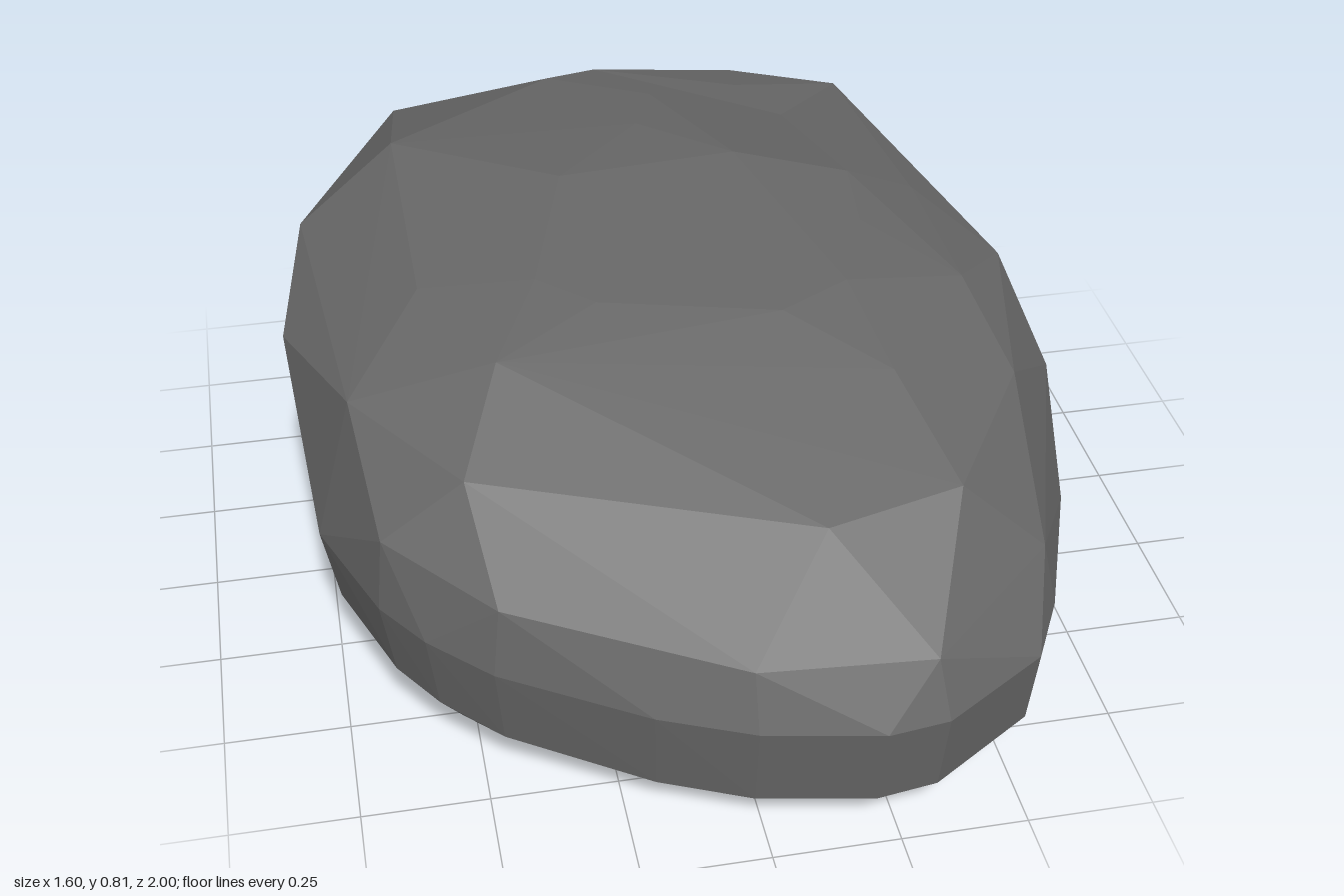
import * as THREE from 'three';
import { ConvexGeometry } from 'three/addons/geometries/ConvexGeometry.js';

// Plan outline of the boulder at its widest, as [x, z]
const OUTLINE = [
  [-0.03, -1], [0.1, -0.98], [0.35, -0.89], [0.45, -0.82], [0.53, -0.74], [0.67, -0.51],
  [0.75, -0.28], [0.8, -0.03], [0.78, 0.2], [0.72, 0.45], [0.61, 0.74], [0.54, 0.87],
  [0.33, 0.99], [0.21, 1], [-0.02, 0.95], [-0.2, 0.88], [-0.48, 0.74], [-0.6, 0.64],
  [-0.68, 0.54], [-0.78, 0.31], [-0.79, 0.1], [-0.8, -0.07], [-0.78, -0.3],
  [-0.67, -0.6], [-0.5, -0.82], [-0.33, -0.94],
];

// Rings from base to crown: [outline scale, height] toward each side
const RINGS = [
  { back: [0.70, 0.055], front: [0.76, 0.00], left: [0.74, 0.05], right: [0.74, 0.055] },
  { back: [0.88, 0.13], front: [0.89, 0.02], left: [0.88, 0.10], right: [0.88, 0.08] },
  { back: [0.99, 0.24], front: [0.975, 0.085], left: [0.99, 0.20], right: [0.945, 0.18], full: true },
  { back: [1.00, 0.42], front: [1.00, 0.27], left: [1.00, 0.34], right: [0.985, 0.35], full: true },
  { back: [0.975, 0.55], front: [0.95, 0.38], left: [0.975, 0.48], right: [0.975, 0.52] },
  { back: [0.94, 0.64], front: [0.72, 0.55], left: [0.89, 0.62], right: [0.90, 0.64] },
  { back: [0.84, 0.715], front: [0.40, 0.665], left: [0.75, 0.69], right: [0.67, 0.74] },
  { back: [0.60, 0.775], front: [0.20, 0.73], left: [0.50, 0.745], right: [0.40, 0.77] },
];

const CORNERS = [
  // crown
  [-0.2, 0.81, -0.2], [0.18, 0.80, -0.25], [-0.53, 0.785, -0.45], [0, 0.795, -0.42],
  [0.42, 0.755, -0.2], [-0.15, 0.755, -0.74],
  // sharp rim around the back
  [0.53, 0.675, -0.74], [0.31, 0.66, -0.88], [-0.18, 0.65, -0.925], [-0.5, 0.67, -0.81],
  [-0.74, 0.66, -0.36],
  // foot and widest side points
  [0.15, 0, 0.77], [-0.8, 0.57, -0.07], [0.8, 0.22, -0.03],
];

// Blend a ring's side values around the outline
function ringPoint(ring, [x, z]) {
  const wx = (x / 0.8) ** 2;
  const wz = z ** 2;
  const t = wx / (wx + wz);
  const side = x > 0 ? ring.left : ring.right;
  const end = z > 0 ? ring.front : ring.back;
  const scale = THREE.MathUtils.lerp(end[0], side[0], t);
  const y = THREE.MathUtils.lerp(end[1], side[1], t);
  return new THREE.Vector3(x * scale, y, z * scale);
}

// 1 in the middle of the underside, 0 at its rim
const underside = (x, z) => Math.max(0, 1 - (x / 0.56) ** 2 - (z / 0.75) ** 2);

// 1 in the middle of the dent behind the left shoulder, 0 at its edge
const dent = (x, z) => Math.max(0, 1 - Math.hypot(x - 0.36, z + 0.56) / 0.24);

export function createModel() {
  const group = new THREE.Group();
  group.name = 'rock';

  // Alternate the outline points from ring to ring for irregular facets
  const points = CORNERS.map((c) => new THREE.Vector3(...c));
  RINGS.forEach((ring, r) => {
    OUTLINE.forEach((p, i) => {
      if (ring.full || (i + r) % 2 === 0) points.push(ringPoint(ring, p));
    });
  });

  // Point in the dent, slightly proud so that the hull keeps it
  points.push(new THREE.Vector3(0.36, 0.755, -0.56));

  // Underside points, bulging down so that the hull keeps them
  for (const x of [-0.25, 0, 0.25]) {
    for (const z of [-0.4, 0, 0.4]) {
      points.push(new THREE.Vector3(x, 0.0275 - 0.0357 * z - 0.02 * underside(x, z), z));
    }
  }
  const geometry = new ConvexGeometry(points);

  // Lift the underside into a shallow hollow and press in the dent
  const pos = geometry.attributes.position;
  for (let i = 0; i < pos.count; i++) {
    const [x, y, z] = [pos.getX(i), pos.getY(i), pos.getZ(i)];
    if (y < 0.1) pos.setY(i, y + 0.05 * underside(x, z));
    else if (y > 0.6) pos.setY(i, y - 0.05 * dent(x, z));
  }
  geometry.computeVertexNormals();

  const boulder = new THREE.Mesh(
    geometry,
    new THREE.MeshStandardMaterial({ color: 0x666666, flatShading: true }),
  );
  boulder.name = 'boulder';
  group.add(boulder);
  return group;
}
